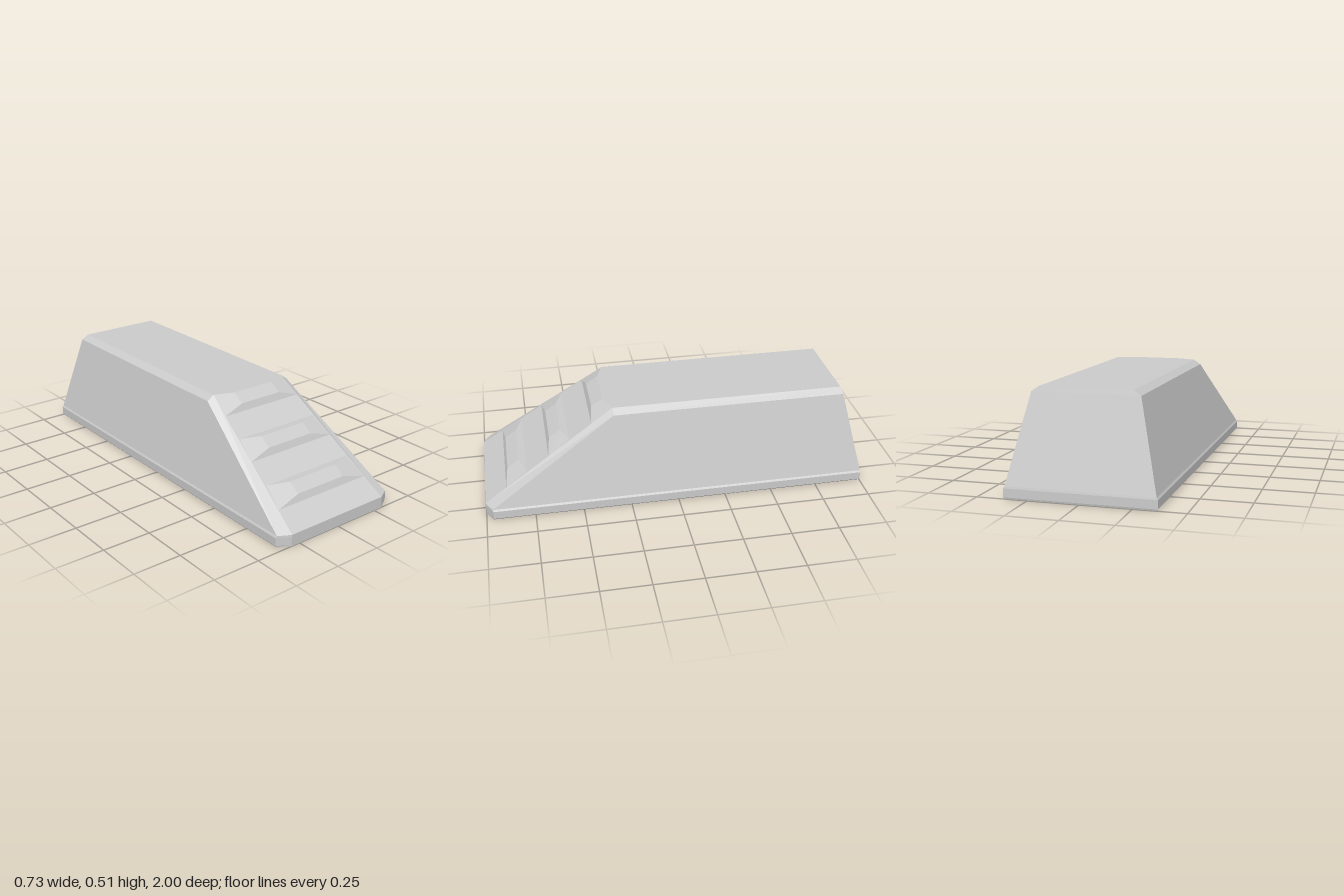
import * as THREE from 'three';

const material = new THREE.MeshStandardMaterial({ color: 0xcccccc, flatShading: true });

// Flat-shaded mesh from convex polygons, corners counter-clockwise from outside
function polyMesh(name, polygons) {
  const pos = [];
  for (const p of polygons) {
    for (let i = 1; i < p.length - 1; i++) pos.push(...p[0], ...p[i], ...p[i + 1]);
  }
  const geometry = new THREE.BufferGeometry();
  geometry.setAttribute('position', new THREE.Float32BufferAttribute(pos, 3));
  geometry.computeVertexNormals();
  const mesh = new THREE.Mesh(geometry, material);
  mesh.name = name;
  return mesh;
}

// Horizontal outline with clipped front corners
const ring = ([y, xFront, zFront, xSide, zCorner, zBack]) => [
  [xFront, y, zFront], [xSide, y, zCorner], [xSide, y, zBack],
  [-xSide, y, zBack], [-xSide, y, zCorner], [-xFront, y, zFront],
];

// Stack of rings joined by quads, closed at both ends
function loft(name, levels) {
  const rings = levels.map(ring);
  const faces = [[...rings[0]].reverse(), rings[rings.length - 1]];
  for (let k = 0; k < rings.length - 1; k++) {
    for (let i = 0; i < 6; i++) {
      const j = (i + 1) % 6;
      faces.push([rings[k][i], rings[k][j], rings[k + 1][j], rings[k + 1][i]]);
    }
  }
  return polyMesh(name, faces);
}

// z of the sloping front at height y
const slopeZ = (y) => 1 - (y - 0.06) * (0.68 / 0.455);

// Wedge-shaped step standing out of the slope
function step(name, yLow, yTop, xLow, xNose, xTop) {
  const right = [
    [xLow, yLow, slopeZ(yLow)],
    [xNose, yLow + 0.036, slopeZ(yLow) - 0.014],
    [xNose, yTop, slopeZ(yTop) + 0.038],
    [xTop, yTop, slopeZ(yTop)],
  ];
  const left = right.map(([x, y, z]) => [-x, y, z]);
  const faces = [[right[0], right[3], right[2], right[1]], left];
  for (let i = 0; i < 3; i++) faces.push([left[i], right[i], right[i + 1], left[i + 1]]);
  return polyMesh(name, faces);
}

export function createModel() {
  const group = new THREE.Group();
  group.name = 'steppedRampBlock';

  // Base plinth with thin bevels
  group.add(loft('basePlinth', [
    [0, 0.3, 1, 0.36, 0.965, -0.998],
    [0.008, 0.3, 1, 0.367, 0.963, -1],
    [0.05, 0.3, 1, 0.367, 0.963, -1],
    [0.06, 0.298, 1, 0.361, 0.965, -0.998],
  ]));

  // Tapered body with sloping front and bevelled top edges
  group.add(loft('taperedBody', [
    [0.06, 0.298, 1, 0.361, 0.965, -0.998],
    [0.49, 0.229, slopeZ(0.49), 0.262, 0.32, -0.896],
    [0.515, 0.225, 0.32, 0.226, 0.318, -0.89],
  ]));

  // Steps up the slope
  group.add(step('lowerStep', 0.135, 0.21, 0.283, 0.149, 0.262));
  group.add(step('middleStep', 0.287, 0.362, 0.262, 0.137, 0.241));
  group.add(step('upperStep', 0.44, 0.515, 0.238, 0.122, 0.225));
  return group;
}
